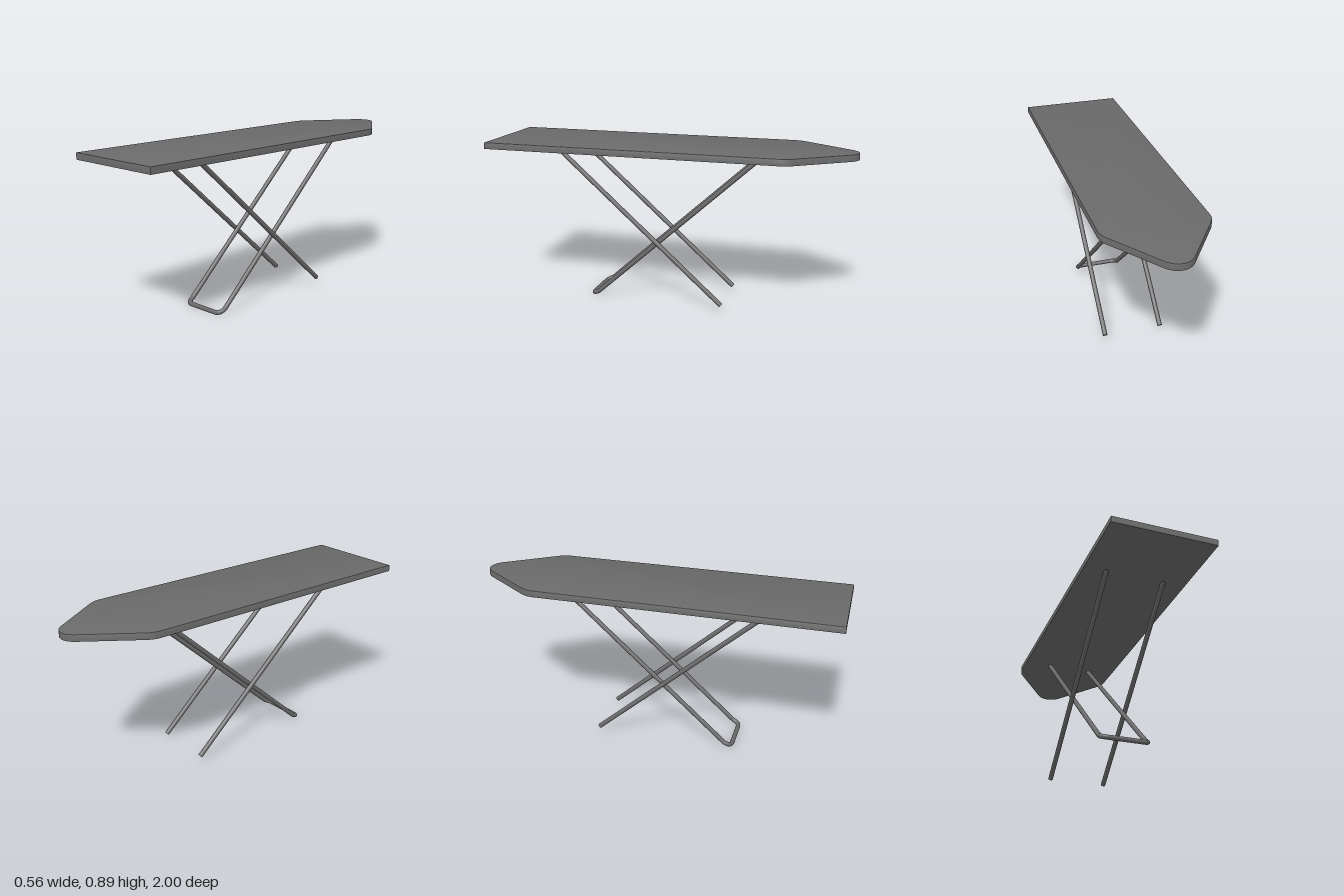
import * as THREE from 'three';
import { toCreasedNormals } from 'three/addons/utils/BufferGeometryUtils.js';

const V = (x, y, z) => new THREE.Vector3(x, y, z);

// Board outline (shape y is -z): square heel, tapered rounded nose
function boardGeometry() {
  const s = new THREE.Shape();
  s.moveTo(-0.28, -1);
  s.lineTo(0.28, -1);
  s.lineTo(0.28, 0.625);
  s.quadraticCurveTo(0.28, 0.663, 0.254, 0.7);
  s.lineTo(0.074, 0.957);
  s.quadraticCurveTo(0.044, 1, 0, 1);
  s.quadraticCurveTo(-0.044, 1, -0.074, 0.957);
  s.lineTo(-0.254, 0.7);
  s.quadraticCurveTo(-0.28, 0.663, -0.28, 0.625);
  s.closePath();
  const g = new THREE.ExtrudeGeometry(s, {
    depth: 0.032, curveSegments: 10, bevelThickness: 0.004,
    bevelSize: 0.004, bevelOffset: -0.004, bevelSegments: 2,
  });
  // flatten the lower bevel so only the top edge is eased
  const p = g.attributes.position;
  for (let i = 0; i < p.count; i++) p.setZ(i, Math.max(0, p.getZ(i)));
  g.rotateX(-Math.PI / 2);
  g.translate(0, 0.856, 0);
  return toCreasedNormals(g, 0.45);
}

// Straight capped rod between two points
function rod(a, b, r, material) {
  const m = new THREE.Mesh(new THREE.CylinderGeometry(r, r, a.distanceTo(b), 16), material);
  m.position.copy(a).add(b).multiplyScalar(0.5);
  m.quaternion.setFromUnitVectors(V(0, 1, 0), b.clone().sub(a).normalize());
  return m;
}

export function createModel() {
  const group = new THREE.Group();
  const grey = new THREE.MeshStandardMaterial({ color: 0x6a6a6a });
  grey.name = 'dark grey';

  const board = new THREE.Mesh(boardGeometry(), grey);
  board.name = 'board';
  group.add(board);

  // Outer pair of straight legs
  for (const side of [-1, 1]) {
    const x = side * 0.159;
    const leg = rod(V(x, 0.868, 0.621), V(x, 0.036, -0.318), 0.013, grey);
    leg.name = side > 0 ? 'outerLegLeft' : 'outerLegRight';
    group.add(leg);
  }

  // Inner U-shaped leg: two uprights joined by a rounded foot bar
  const x = 0.126, fy = 0.0125, fz = 0.445;
  const path = new THREE.CurvePath();
  path.add(new THREE.LineCurve3(V(-x, 0.868, -0.518), V(-x, 0.03, 0.408)));
  path.add(new THREE.QuadraticBezierCurve3(V(-x, 0.03, 0.408), V(-x, fy, fz), V(-0.085, fy, fz)));
  path.add(new THREE.LineCurve3(V(-0.085, fy, fz), V(0.085, fy, fz)));
  path.add(new THREE.QuadraticBezierCurve3(V(0.085, fy, fz), V(x, fy, fz), V(x, 0.03, 0.408)));
  path.add(new THREE.LineCurve3(V(x, 0.03, 0.408), V(x, 0.868, -0.518)));
  const inner = new THREE.Mesh(new THREE.TubeGeometry(path, 260, 0.0125, 16), grey);
  inner.name = 'innerLeg';
  group.add(inner);

  return group;
}
